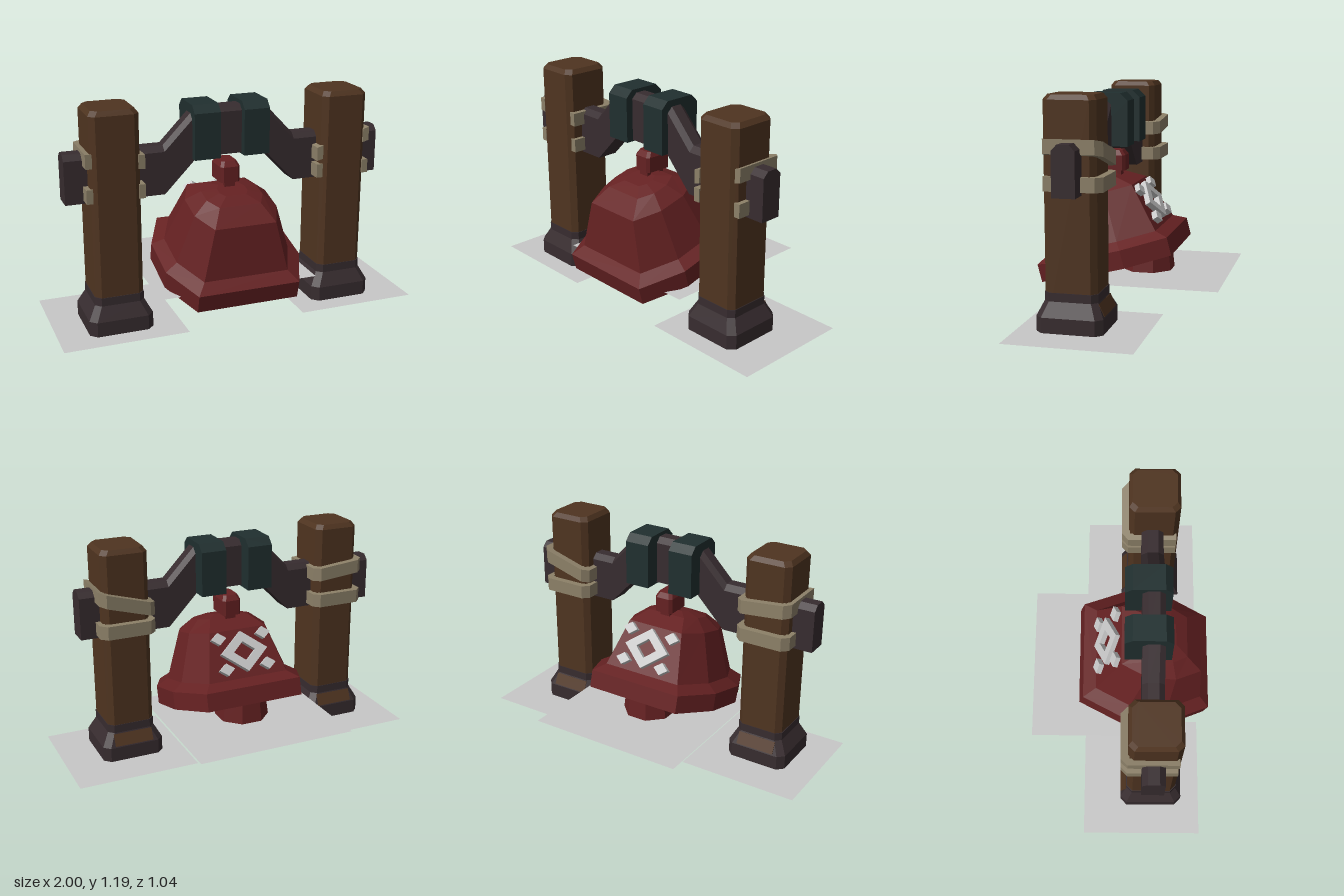
import * as THREE from 'three';

const material = (name, color) => {
  const m = new THREE.MeshStandardMaterial({ color });
  m.name = name;
  return m;
};

// Faceted closed skin through rings of equal point counts
function skin(rings) {
  const pos = [];
  const tri = (a, b, c) => pos.push(...a, ...b, ...c);
  const n = rings[0].length;
  for (let r = 0; r < rings.length - 1; r++) {
    const p = rings[r], q = rings[r + 1];
    for (let i = 0; i < n; i++) {
      const j = (i + 1) % n;
      tri(p[i], q[i], p[j]);
      tri(p[j], q[i], q[j]);
    }
  }
  const first = rings[0], last = rings[rings.length - 1];
  for (let k = 1; k < n - 1; k++) {
    tri(first[0], first[k], first[k + 1]);
    tri(last[0], last[k + 1], last[k]);
  }
  const g = new THREE.BufferGeometry();
  g.setAttribute('position', new THREE.Float32BufferAttribute(pos, 3));
  g.computeVertexNormals();
  return g;
}

// Eight-sided ring: half sizes a, b; the corners are cut at cx, cz
const octRing = (y, a, b, cx, cz) => [
  [a, y, -cz], [a, y, cz], [cx, y, b], [-cx, y, b],
  [-a, y, cz], [-a, y, -cz], [-cx, y, -b], [cx, y, -b],
];
const chamferRing = (y, a, b, c) => octRing(y, a, b, a - c, b - c);
const bellRing = (y, a, b) => octRing(y, a, b, a * 0.73, b * 0.36);

// Bar along x with chamfered top edges; stations are [x, bottom height]
function bar(stations, halfDepth, height, chamfer) {
  return skin(stations.map(([x, y]) => [
    [x, y, halfDepth], [x, y + height - chamfer, halfDepth],
    [x, y + height, halfDepth - chamfer], [x, y + height, chamfer - halfDepth],
    [x, y + height - chamfer, -halfDepth], [x, y, -halfDepth],
  ]));
}

// U-shaped binding round the back and sides of a post, sheared to slant
function binding(height, drop, side) {
  const s = new THREE.Shape();
  const pts = [[-0.155, 0.125], [-0.155, -0.14], [-0.12, -0.175], [0.12, -0.175],
    [0.155, -0.14], [0.155, 0.125], [0.12, 0.125], [0.12, -0.13], [-0.12, -0.13], [-0.12, 0.125]];
  s.setFromPoints(pts.map(([x, y]) => new THREE.Vector2(x, y)));
  const g = new THREE.ExtrudeGeometry(s, { depth: height, bevelEnabled: false });
  g.rotateX(Math.PI / 2);
  const p = g.attributes.position;
  for (let i = 0; i < p.count; i++) {
    p.setY(i, p.getY(i) - drop * (0.5 - (side * p.getX(i)) / 0.31));
  }
  g.computeVertexNormals();
  return g;
}

function diamond(Type, x, y, w, h) {
  return new Type().setFromPoints([[w, 0], [0, h], [-w, 0], [0, -h]]
    .map(([dx, dy]) => new THREE.Vector2(x + dx, y + dy)));
}

export function createModel() {
  const wood = material('brownWood', 0x4f3420);
  const dark = material('darkTimber', 0x372c2f);
  const teal = material('tealBand', 0x202f2f);
  const red = material('redMetal', 0x652122);
  const tan = material('tanRope', 0x8c8068);
  const pale = material('paleGrey', 0xc8c8c8);
  pale.side = THREE.DoubleSide;

  const model = new THREE.Group();
  model.name = 'hangingBell';
  const add = (parent, name, geometry, mat, x = 0, y = 0, z = 0) => {
    const m = new THREE.Mesh(geometry, mat);
    m.name = name;
    m.position.set(x, y, z);
    parent.add(m);
    return m;
  };

  // Ground sheets
  const sheet = (name, w, d, x, y, z) =>
    add(model, name, new THREE.PlaneGeometry(w, d).rotateX(-Math.PI / 2), pale, x, y, z);
  sheet('centreSheet', 0.9, 0.9, -0.01, 0.17, -0.07);

  // Posts with footings and bindings
  for (const s of [-1, 1]) {
    sheet('postSheet', 0.67, 0.67, s * 0.665, 0, 0.125);
    const post = new THREE.Group();
    post.name = s > 0 ? 'leftPost' : 'rightPost';
    post.position.set(-0.02 + s * 0.64, 0, 0.177);
    model.add(post);
    add(post, 'postShaft', skin([
      chamferRing(0.1, 0.13, 0.137, 0.03),
      chamferRing(1.165, 0.13, 0.137, 0.03),
      chamferRing(1.19, 0.112, 0.119, 0.03),
    ]), wood);
    add(post, 'footing', skin([
      chamferRing(0, 0.173, 0.175, 0.035),
      chamferRing(0.08, 0.173, 0.175, 0.035),
      chamferRing(0.155, 0.133, 0.14, 0.03),
      chamferRing(0.2, 0.133, 0.14, 0.03),
    ]), dark);
    // Bare strip on the sloping back of the footing
    const strip = add(post, 'footingStrip', new THREE.BoxGeometry(0.22, 0.07, 0.004), wood, 0, 0.1175, -0.158);
    strip.rotation.x = Math.atan2(0.035, 0.075);
    add(post, 'upperBinding', binding(0.075, s > 0 ? 0.09 : 0.03, s), tan, 0, 0.977, 0);
    add(post, 'lowerBinding', binding(0.075, 0, s), tan, 0, 0.792, 0);
  }

  // Raised cross beam and its two bands
  add(model, 'crossBeam', bar([[-0.91, 0.7], [-0.38, 0.7], [-0.2, 0.885],
    [0.18, 0.885], [0.355, 0.7], [0.86, 0.7]], 0.06, 0.26, 0.03), dark, 0, 0, 0.17);
  for (const x of [-0.155, 0.122]) {
    add(model, 'beamBand', bar([[x - 0.072, 0.877], [x + 0.072, 0.877]], 0.125, 0.288, 0.04),
      teal, 0, 0, 0.145);
  }

  // Tilted hollow bell, skinned from the inside out
  const bell = add(model, 'bell', skin([
    bellRing(0.36, 0.19, 0.19),
    bellRing(0.1, 0.28, 0.28),
    bellRing(0, 0.33, 0.32),
    bellRing(0, 0.39, 0.377),
    bellRing(0.1, 0.39, 0.377),
    bellRing(0.14, 0.325, 0.312),
    bellRing(0.405, 0.235, 0.23),
    bellRing(0.47, 0.16, 0.13),
    bellRing(0.49, 0.08, 0.06),
  ]), red, -0.01, 0.215, 0.125);
  bell.rotation.x = 0.255;

  // Crown loop above the bell
  add(model, 'crown', skin([
    chamferRing(0.725, 0.055, 0.08, 0.015),
    chamferRing(0.81, 0.055, 0.08, 0.015),
    chamferRing(0.838, 0.042, 0.06, 0.015),
  ]), red, -0.012, 0, 0.155);
  for (const z of [0.115, 0.205]) {
    add(model, 'crownLeg', new THREE.BoxGeometry(0.06, 0.1, 0.025), red, -0.012, 0.69, z);
  }

  // Clapper swung towards the back
  const rings = [[0.075, 0.06], [0.17, 0.14], [0.3, 0.125], [0.37, 0.03]];
  add(model, 'clapper', skin(rings.map(([y, r]) => octRing(y, r, r, r * 0.42, r * 0.42))),
    red, -0.01, 0, -0.05);
  const rod = add(model, 'clapperRod', new THREE.CylinderGeometry(0.02, 0.02, 0.3, 6), red, -0.01, 0.46, 0.03);
  rod.rotation.x = 0.45;

  // Diamond ornament on the back of the bell
  const ring = diamond(THREE.Shape, 0, 0, 0.14, 0.115);
  ring.holes.push(diamond(THREE.Path, 0, 0, 0.065, 0.055));
  const shapes = [ring];
  for (const x of [-1, 1]) {
    shapes.push(diamond(THREE.Shape, x * 0.135, 0.088, 0.045, 0.035));
    shapes.push(diamond(THREE.Shape, x * 0.125, -0.088, 0.045, 0.035));
  }
  const ornament = add(model, 'backOrnament',
    new THREE.ExtrudeGeometry(shapes, { depth: 0.035, bevelEnabled: false }), pale, -0.01, 0.55, -0.062);
  ornament.lookAt(-0.01, 0.55 + 0.54, -0.062 - 0.84);

  return model;
}
